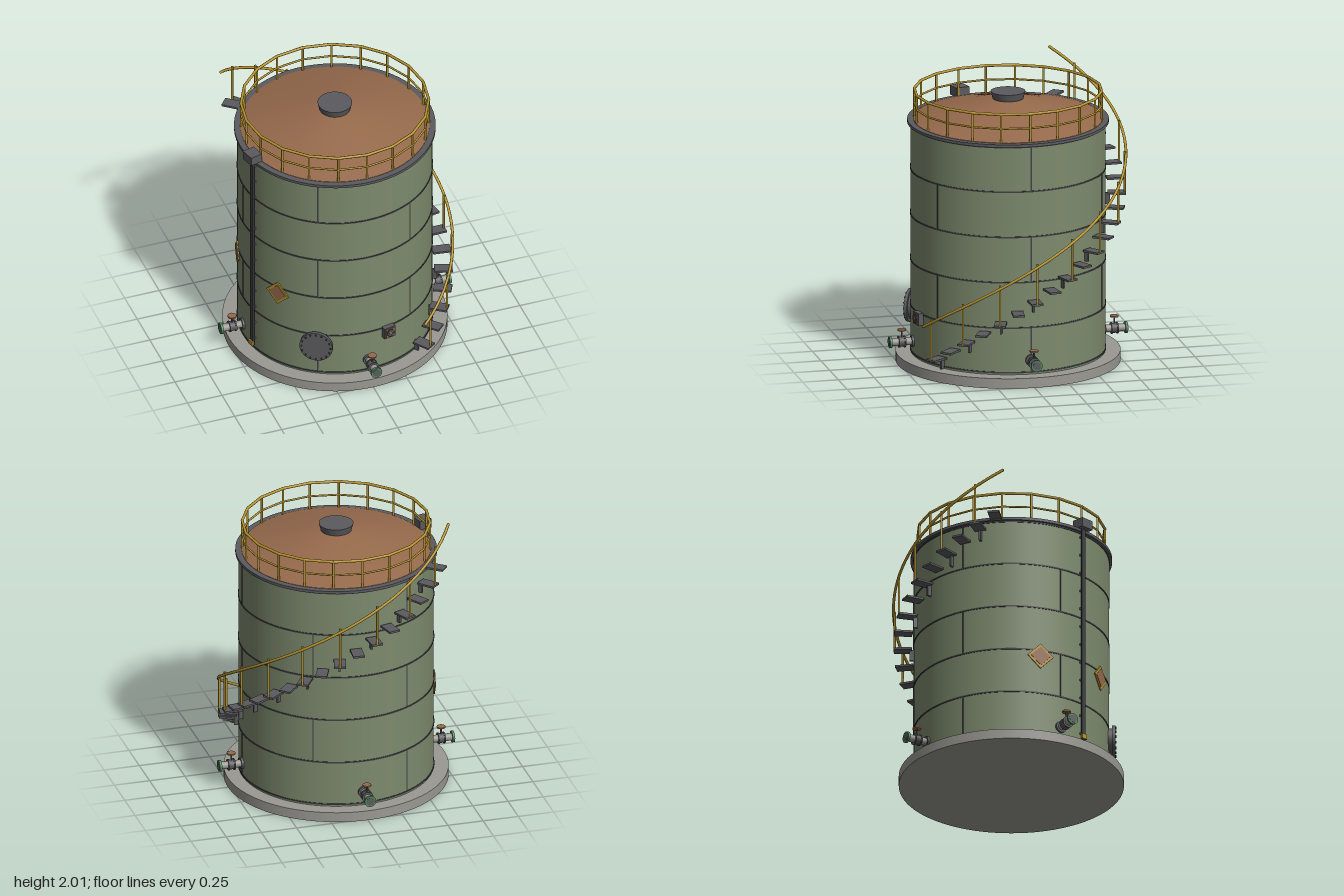
import * as THREE from 'three';

const mat = (name, color) => {
  const m = new THREE.MeshStandardMaterial({ color });
  m.name = name;
  return m;
};
const RAD = Math.PI / 180;

export function createModel() {
  const tankGreen = mat('tankGreen', 0x7d8a6d);
  const concrete = mat('concrete', 0x9a9993);
  const steel = mat('darkSteel', 0x5b5b5f);
  const seam = mat('seamGrey', 0x3f4045);
  const rust = mat('rustBrown', 0x966a4c);
  const yellow = mat('safetyYellow', 0xb8952f);
  const flangeGreen = mat('flangeGreen', 0x4f8a5e);

  const model = new THREE.Group();
  model.name = 'storageTank';

  const add = (parent, name, geo, material, x = 0, y = 0, z = 0) => {
    const m = new THREE.Mesh(geo, material);
    m.name = name;
    m.position.set(x, y, z);
    parent.add(m);
    return m;
  };
  const cyl = (r, h, seg = 16, r2 = r) => new THREE.CylinderGeometry(r2, r, h, seg);
  const box = (w, h, d) => new THREE.BoxGeometry(w, h, d);
  // cylinder lying along local z
  const cylZ = (r, h, seg = 24) => cyl(r, h, seg).rotateX(Math.PI / 2);
  // group on the shell at an angle from the front, local +z pointing outward
  const station = (name, deg, parent = model) => {
    const g = new THREE.Group();
    g.name = name;
    g.rotation.y = deg * RAD;
    parent.add(g);
    return g;
  };
  const polar = (deg, r, y) =>
    new THREE.Vector3(r * Math.sin(deg * RAD), y, r * Math.cos(deg * RAD));

  // Foundation and shell
  add(model, 'foundation', cyl(0.767, 0.07, 96), concrete, 0, 0.035);
  add(model, 'shell', cyl(0.665, 1.62, 96), tankGreen, 0, 0.88);

  // Weld seams: five courses with staggered vertical joints
  const courses = [0.085, 0.4, 0.72, 1.04, 1.36, 1.675];
  courses.forEach((y, i) => {
    add(model, 'ringSeam', cyl(0.669, 0.01, 96), seam, 0, y);
    if (i === 5) return;
    const h = courses[i + 1] - y;
    for (let k = 0; k < 3; k++) {
      const s = station('verticalSeam', (i % 2 ? 30 : -30) + k * 120);
      add(s, 'seamStrip', box(0.009, h, 0.01), seam, 0, y + h / 2, 0.664);
    }
  });

  // Top rim, roof and vent
  add(model, 'rim', cyl(0.687, 0.02, 96), steel, 0, 1.69);
  const roof = [[0.645, 1.7], [0.645, 1.705], [0.48, 1.747], [0.3, 1.793], [0.1, 1.838], [0, 1.845]]
    .map(p => new THREE.Vector2(...p));
  add(model, 'roof', new THREE.LatheGeometry(roof, 80), rust);
  add(model, 'ventNeck', cyl(0.09, 0.06, 32), steel, 0, 1.845);
  add(model, 'ventCap', cyl(0.105, 0.05, 40, 0.118), steel, 0, 1.868);

  // Roof guard rail with 20 straight bays
  const bays = 20, railR = 0.64;
  const chord = 2 * railR * Math.sin(Math.PI / bays);
  const apothem = railR * Math.cos(Math.PI / bays);
  for (let i = 0; i < bays; i++) {
    const p = station('guardPost', i * 360 / bays);
    add(p, 'post', cyl(0.008, 0.2, 8), yellow, 0, 1.8, railR);
    const r = station('guardRail', (i + 0.5) * 360 / bays);
    const bar = (rad) => cyl(rad, chord + 0.004, 8).rotateZ(Math.PI / 2);
    add(r, 'topRail', bar(0.01), yellow, 0, 1.9, apothem);
    add(r, 'midRail', bar(0.007), yellow, 0, 1.8, apothem);
  }

  // Spiral stair
  const steps = 22, a0 = 35, da = 9.33, y0 = 0.15, dy = 0.0735;
  for (let i = 0; i < steps; i++) {
    const s = station('stairStep', a0 + i * da), y = y0 + i * dy;
    add(s, 'tread', box(0.08, 0.014, 0.125), steel, 0, y, 0.74);
    if (i % 2 === 0) {
      add(s, 'bracket', box(0.014, 0.08, 0.03), steel, 0, y - 0.04, 0.68);
      add(s, 'stairPost', cyl(0.008, 0.29, 8), yellow, 0, y + 0.145, 0.795);
    }
  }
  const pts = [];
  for (let i = -0.5; i <= steps - 0.5; i += 0.5)
    pts.push(polar(a0 + i * da, 0.803, y0 + i * dy + 0.267));
  add(model, 'stairHandrail',
    new THREE.TubeGeometry(new THREE.CatmullRomCurve3(pts), 160, 0.01, 8), yellow);
  [pts[0], pts[pts.length - 1]].forEach(p =>
    add(model, 'handrailEnd', new THREE.SphereGeometry(0.01, 8, 6), yellow, p.x, p.y, p.z));

  // Four valved nozzles
  for (let k = 0; k < 4; k++) {
    const v = station('nozzle', k * 90), y = 0.17;
    add(v, 'pipe', cylZ(0.026, 0.18), concrete, 0, y, 0.735);
    add(v, 'wallPad', cylZ(0.04, 0.016), steel, 0, y, 0.672);
    add(v, 'valveBody', cylZ(0.034, 0.034), steel, 0, y, 0.745);
    [0.725, 0.765].forEach(z => add(v, 'valveFlange', cylZ(0.04, 0.009), steel, 0, y, z));
    add(v, 'endFlange', cylZ(0.04, 0.016), flangeGreen, 0, y, 0.826);
    add(v, 'endFace', cylZ(0.029, 0.004), steel, 0, y, 0.834);
    add(v, 'valveStem', cyl(0.006, 0.075, 8), steel, 0, 0.218, 0.745);
    add(v, 'handWheel', cyl(0.03, 0.01, 20), rust, 0, 0.254, 0.745);
  }

  // Manhole with bolted cover
  const mh = station('manhole', -30.5);
  add(mh, 'manholeNeck', cylZ(0.095, 0.05, 40), steel, 0, 0.325, 0.665);
  add(mh, 'manholeCover', cylZ(0.115, 0.022, 48), steel, 0, 0.325, 0.697);
  for (let i = 0; i < 16; i++) {
    const t = i * Math.PI / 8;
    add(mh, 'coverBolt', cylZ(0.006, 0.01, 6), seam,
      0.101 * Math.cos(t), 0.325 + 0.101 * Math.sin(t), 0.711);
  }

  // Square instrument box with dial
  const ins = station('instrument', 12.5);
  add(ins, 'instrumentBox', box(0.085, 0.085, 0.04), steel, 0, 0.37, 0.68);
  add(ins, 'instrumentPlate', box(0.066, 0.066, 0.006), rust, 0, 0.37, 0.702);
  add(ins, 'dial', cylZ(0.03, 0.006), seam, 0, 0.37, 0.707);
  for (let i = 0; i < 8; i++) {
    const t = i * Math.PI / 4;
    add(ins, 'dialMark', cylZ(0.004, 0.003, 6), concrete,
      0.021 * Math.cos(t), 0.37 + 0.021 * Math.sin(t), 0.711);
  }
  add(ins, 'needle', box(0.006, 0.022, 0.003), yellow, 0, 0.374, 0.711);

  // Diamond warning plates
  [-55.5, -103].forEach(deg => {
    const d = station('warningSign', deg);
    const plate = (name, size, m, z) =>
      add(d, name, box(size, size, 0.008).rotateZ(Math.PI / 4), m, 0, 0.675, z);
    plate('signBorder', 0.13, yellow, 0.67);
    plate('signFace', 0.098, rust, 0.673);
  });

  // Level gauge: board, standoffs, head box and marker
  const g = station('levelGauge', -75);
  add(g, 'gaugeBoard', box(0.034, 1.58, 0.012), seam, 0, 0.91, 0.688);
  for (let i = 0; i < 12; i++)
    add(g, 'gaugeStandoff', box(0.02, 0.015, 0.03), steel, 0, 0.17 + i * 0.134, 0.672);
  add(g, 'gaugeHead', box(0.1, 0.065, 0.09), steel, 0, 1.73, 0.685);
  add(g, 'gaugeMarker', box(0.045, 0.035, 0.014), yellow, 0, 0.14, 0.698);

  return model;
}
